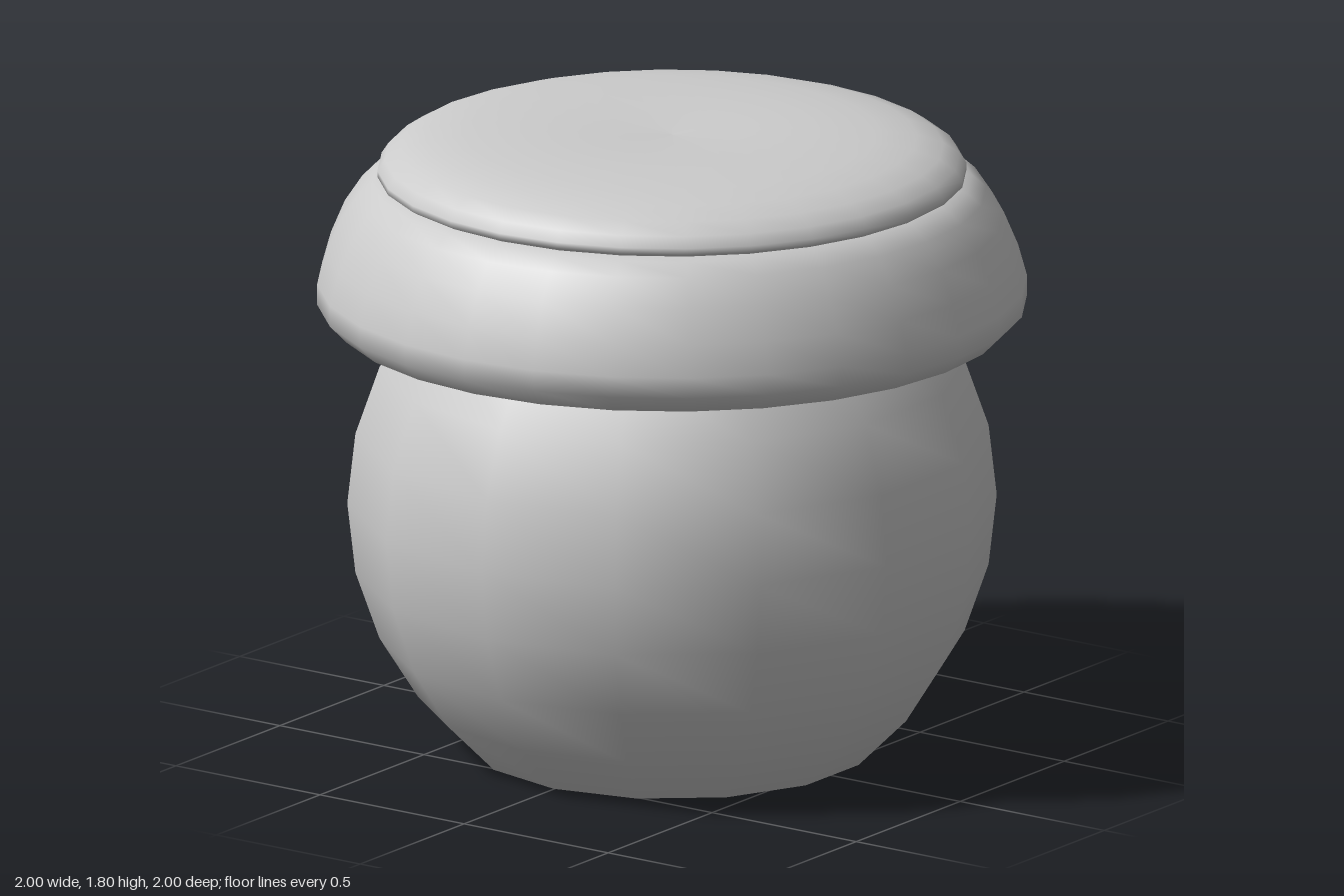
import * as THREE from 'three';

const material = new THREE.MeshStandardMaterial({ color: 0xcccccc });

// Round body: a sphere with its underside pressed flat onto the ground
function makeBody() {
  const centreY = 0.717;
  const geometry = new THREE.SphereGeometry(0.915, 14, 14);
  geometry.translate(0, centreY, 0);
  const position = geometry.attributes.position;
  for (let i = 0; i < position.count; i++) {
    position.setY(i, Math.max(0, position.getY(i)));
  }
  const body = new THREE.Mesh(geometry, material);
  body.name = 'body';
  return body;
}

// Turned part from [radius, height] pairs, listed from bottom to top
function turned(name, profile, segments) {
  const points = profile.map(([r, y]) => new THREE.Vector2(r, y));
  const mesh = new THREE.Mesh(new THREE.LatheGeometry(points, segments), material);
  mesh.name = name;
  return mesh;
}

export function createModel() {
  const model = new THREE.Group();
  model.name = 'roundJar';
  model.add(makeBody());

  // Thick overhanging rim, with its underside running into the body
  model.add(turned('rim', [
    [0.6, 1.23], [0.75, 1.23], [0.88, 1.237], [0.95, 1.248], [1, 1.3], [1, 1.36],
    [0.975, 1.45], [0.935, 1.545], [0.885, 1.62], [0.845, 1.655], [0.81, 1.665],
  ], 28));

  // Soft cushion-like lid top, slightly dished in the middle
  model.add(turned('lidTop', [
    [0.81, 1.66], [0.83, 1.672], [0.83, 1.69], [0.81, 1.72], [0.765, 1.75],
    [0.69, 1.775], [0.58, 1.79], [0.4, 1.8], [0.2, 1.795], [0, 1.785],
  ], 28));

  return model;
}
